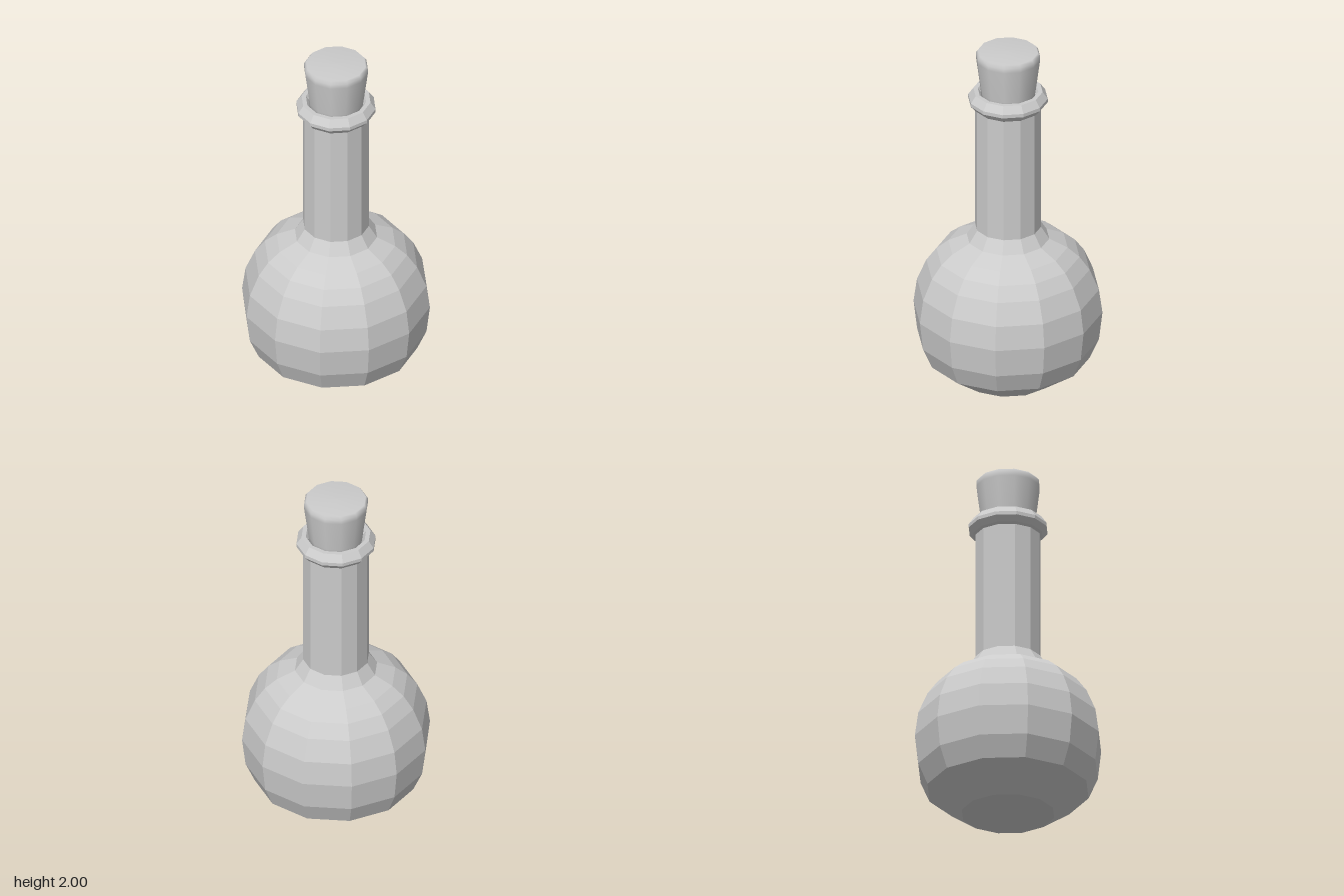
import * as THREE from 'three';

const SIDES = 12;

// Revolve a profile of [radius, height] pairs, listed from the bottom up
function lathe(name, profile, flatShading) {
  const points = profile.map(([r, y]) => new THREE.Vector2(r, y));
  const mesh = new THREE.Mesh(
    new THREE.LatheGeometry(points, SIDES),
    new THREE.MeshStandardMaterial({ color: 0xcccccc, flatShading, side: THREE.DoubleSide })
  );
  mesh.name = name;
  return mesh;
}

export function createModel() {
  const model = new THREE.Group();
  model.name = 'corkedBottle';

  // Round bulb with a slightly bulging base, up to the foot of the neck
  model.add(lathe('bulb', [
    [0, 0], [0.255, 0.015], [0.445, 0.15], [0.496, 0.268], [0.515, 0.433],
    [0.496, 0.57], [0.445, 0.69], [0.39, 0.765], [0.325, 0.818],
    [0.225, 0.865], [0.18, 0.935],
  ], true));

  // Straight neck
  model.add(lathe('neck', [[0.18, 0.935], [0.18, 1.662]], true));

  // Flared lip, turning inward to the mouth
  model.add(lathe('lip', [
    [0.18, 1.662], [0.192, 1.672], [0.217, 1.702], [0.217, 1.722],
    [0.189, 1.762], [0.165, 1.762], [0.15, 1.74], [0.15, 1.66],
  ], true));

  // Tapered stopper with a small bevel on its top edge
  model.add(lathe('stopper', [
    [0, 1.66], [0.135, 1.66], [0.15, 1.762], [0.175, 1.955],
    [0.175, 1.982], [0.163, 1.998], [0, 2],
  ], false));

  return model;
}
